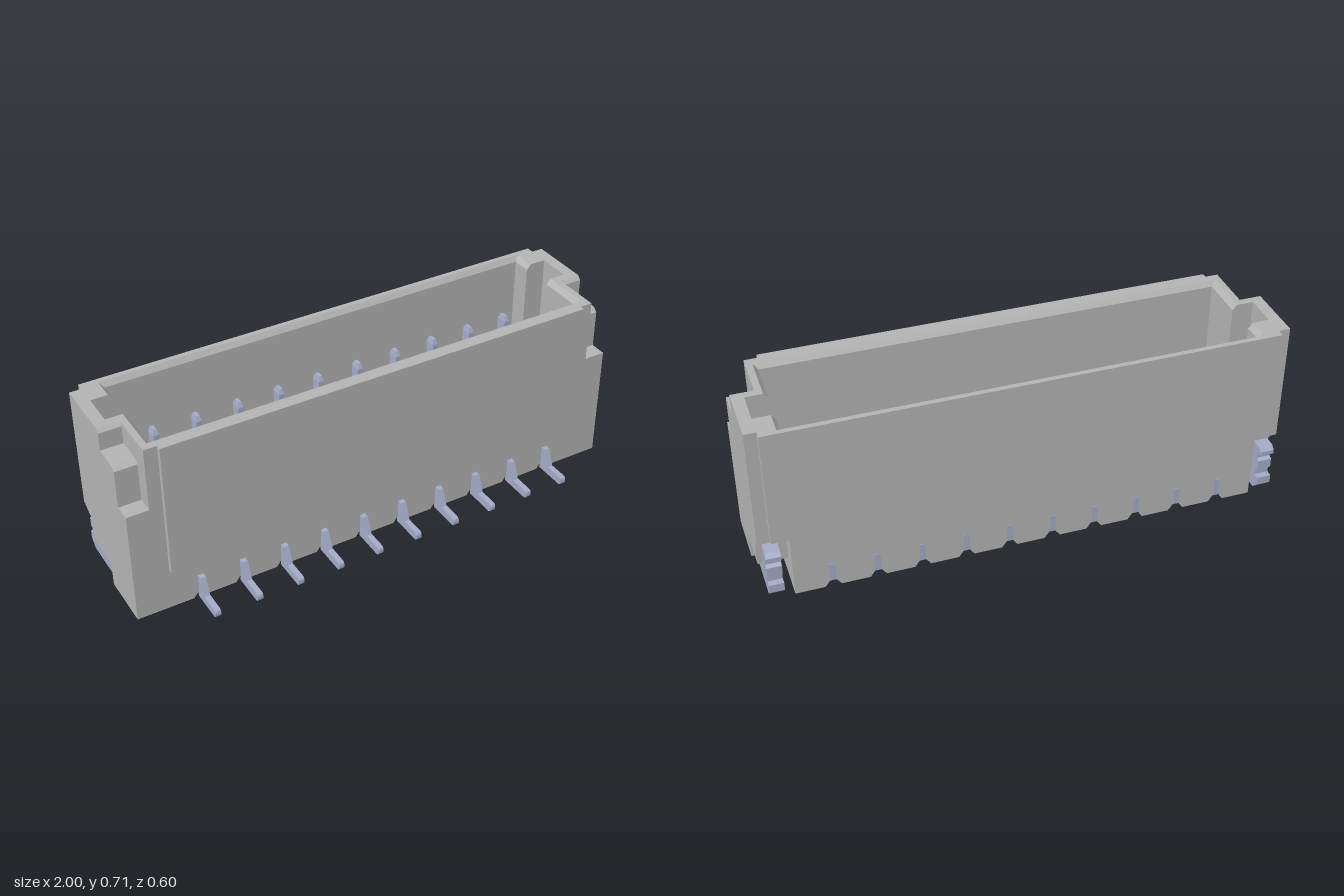
import * as THREE from 'three';

const H = 0.71, FLOOR = 0.16, FRONT = 0.165, BACK = -0.30;
const PINS = 10, PITCH = 1.5 / 9;

export function createModel() {
  const model = new THREE.Group();
  const housing = new THREE.MeshStandardMaterial({ color: 0xb4b4b4 });
  housing.name = 'housing grey';
  const metal = new THREE.MeshStandardMaterial({ color: 0xa4abc7 });
  metal.name = 'metal blue';

  const add = (name, geo, mat) => {
    const m = new THREE.Mesh(geo, mat);
    m.name = name;
    model.add(m);
    return m;
  };
  const shapeOf = (pts) => new THREE.Shape(pts.map(([a, b]) => new THREE.Vector2(a, b)));
  // (x, y) outline swept from z0 to z1
  const alongZ = (pts, z0, z1) =>
    new THREE.ExtrudeGeometry(shapeOf(pts), { depth: z1 - z0, bevelEnabled: false }).translate(0, 0, z0);
  // (z, y) outline swept from x0 to x1
  const alongX = (pts, x0, x1) =>
    new THREE.ExtrudeGeometry(shapeOf(pts.map(([z, y]) => [-z, y])), { depth: x1 - x0, bevelEnabled: false })
      .rotateY(Math.PI / 2).translate(x0, 0, 0);
  const box = (x0, x1, y0, y1, z0, z1) =>
    new THREE.BoxGeometry(x1 - x0, y1 - y0, z1 - z0).translate((x0 + x1) / 2, (y0 + y1) / 2, (z0 + z1) / 2);
  const bothEnds = (name, pts, x0, x1, mat) => {
    add(name, alongX(pts, x0, x1), mat);
    add(name, alongX(pts, -x1, -x0), mat);
  };
  const pinX = Array.from({ length: PINS }, (_, i) => (i - (PINS - 1) / 2) * PITCH);

  // Floor slab with a groove under every contact
  const floor = [[-0.89, 0]];
  for (const x of pinX) floor.push([x - 0.03, 0], [x - 0.012, 0.025], [x + 0.012, 0.025], [x + 0.03, 0]);
  floor.push([0.89, 0], [0.89, FLOOR], [-0.89, FLOOR]);
  add('floor', alongZ(floor, BACK, FRONT), housing);

  // Long walls with chamfered inner rims
  add('frontWall', alongX([[FRONT, FLOOR], [FRONT, H], [0.135, H], [0.12, 0.69], [0.12, FLOOR]], -0.89, 0.89), housing);
  add('backWall', alongX([[BACK, FLOOR], [BACK, H], [-0.28, H], [-0.265, 0.69], [-0.265, FLOOR]], -0.89, 0.89), housing);
  add('frontPanel', box(-0.865, 0.865, 0.17, H, FRONT, 0.185), housing);

  // End walls in layers: front steps, inner key slot and solder tab recess
  const endProfile = (back, steps, slot) => [
    [FRONT, 0],
    ...(steps
      ? [[FRONT, 0.46], [0.10, 0.46], [0.10, 0.61], [0.083, 0.625], [-0.015, 0.625], [-0.015, 0.695], [-0.03, H]]
      : [[FRONT, H]]),
    ...(slot ? [[-0.06, H], [-0.06, FLOOR], [-0.19, FLOOR], [-0.19, H]] : []),
    [back, H], [back, 0.2 - (back + 0.215) * 0.588],
    [-0.215, 0.2], [-0.215, 0.1], [-0.05, 0.1], [-0.05, 0],
  ];
  bothEnds('endWallInner', endProfile(BACK, false, true), 0.89, 0.915, housing);
  bothEnds('endWallMiddle', endProfile(BACK, true, true), 0.915, 0.955, housing);
  bothEnds('endWallOuter', endProfile(-0.27, true, false), 0.955, 1, housing);

  // Chamfered liners on either side of the key slots
  for (const s of [-1, 1]) {
    const rim = [[s * 0.89, FLOOR], [s * 0.89, H], [s * 0.873, 0.69], [s * 0.873, FLOOR]];
    add('endLiner', alongZ(rim, -0.06, 0.13), housing);
    add('endLiner', alongZ(rim, -0.275, -0.19), housing);
  }

  // Toothed solder tabs
  const tab = [
    [-0.05, 0.1], [-0.05, 0.03], [-0.08, 0], [-0.27, 0], [-0.30, 0.03], [-0.30, 0.063],
    [-0.275, 0.063], [-0.275, 0.09], [-0.29, 0.097], [-0.29, 0.135], [-0.275, 0.142],
    [-0.275, 0.168], [-0.30, 0.168], [-0.30, 0.185], [-0.285, 0.2], [-0.215, 0.2], [-0.215, 0.1],
  ];
  bothEnds('solderTab', tab, 0.925, 0.98, metal);

  // Contacts: outer foot, upright pin, and the flush ends in the floor and back
  const foot = [
    [0.16, 0], [0.29, 0], [0.297, 0.005], [0.30, 0.012], [0.30, 0.022],
    [0.297, 0.03], [0.29, 0.034], [0.213, 0.034], [0.185, 0.1], [0.16, 0.1],
  ];
  const w = 0.011;
  for (const x of pinX) {
    add('contactFoot', alongX(foot, x - w, x + w), metal);
    add('contactPin', box(x - w, x + w, FLOOR, 0.52, -0.18, -0.135), metal);
    // Tapered tip
    const tip = new THREE.CylinderGeometry(0.6, 1, 1, 4, 1).rotateY(Math.PI / 4)
      .scale(w * Math.SQRT2, 0.02, 0.0225 * Math.SQRT2).translate(x, 0.53, -0.1575).toNonIndexed();
    tip.computeVertexNormals();
    add('contactTip', tip, metal);
    add('contactFloorEnd', box(x - w, x + w, FLOOR - 0.003, FLOOR + 0.002, 0, 0.05), metal);
    add('contactBackEnd', box(x - w, x + w, 0.03, 0.1, BACK - 0.002, BACK + 0.003), metal);
  }
  return model;
}
